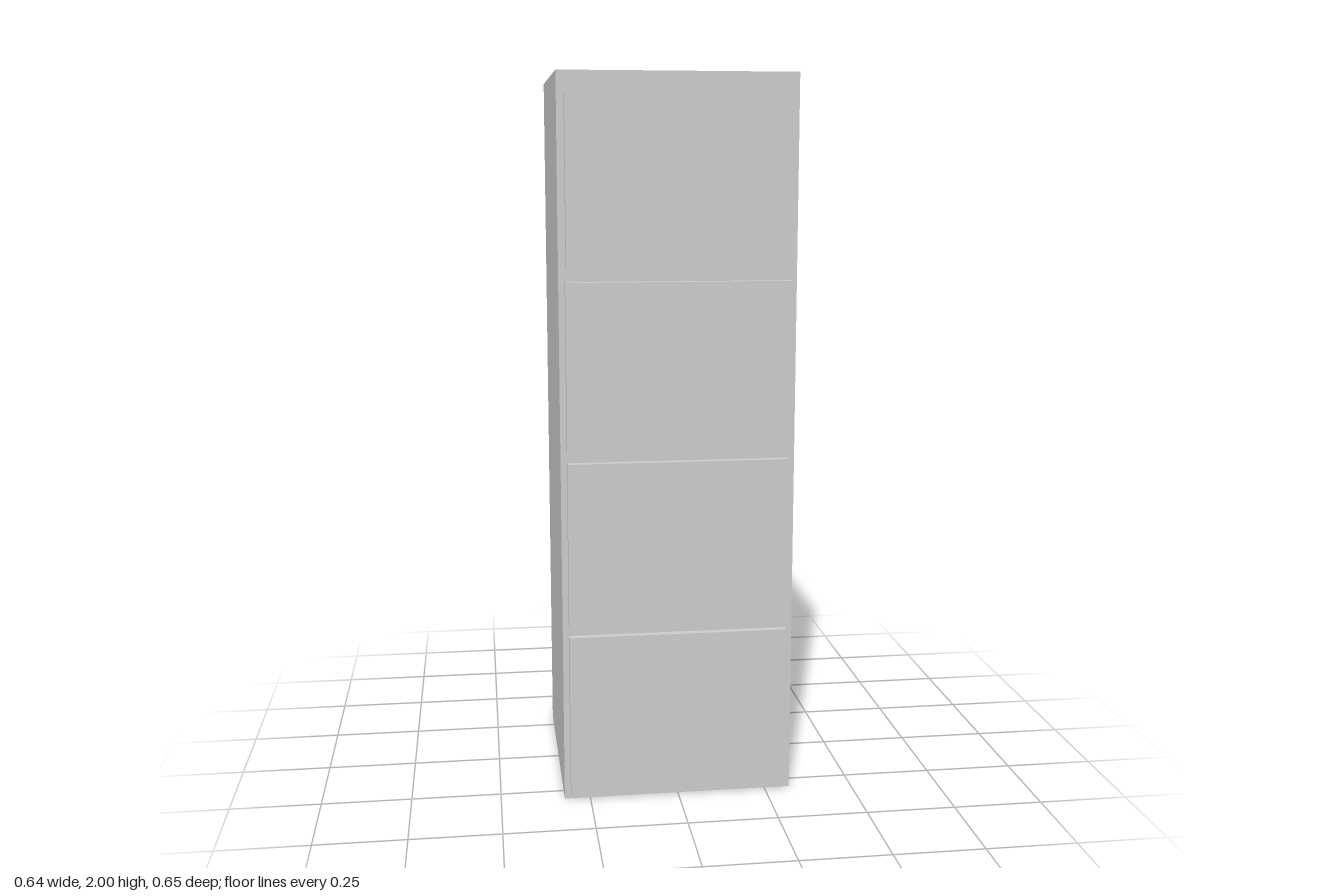
import * as THREE from 'three';

export function createModel() {
  const group = new THREE.Group();
  const material = new THREE.MeshStandardMaterial({ color: 0xcccccc, flatShading: true });

  // Adds a box given by its lower and upper limits on each axis
  function addBox(name, [x0, x1], [y0, y1], [z0, z1]) {
    const mesh = new THREE.Mesh(new THREE.BoxGeometry(x1 - x0, y1 - y0, z1 - z0), material);
    mesh.position.set((x0 + x1) / 2, (y0 + y1) / 2, (z0 + z1) / 2);
    mesh.name = name;
    group.add(mesh);
  }

  // Cabinet body
  const front = 0.303;
  addBox('cabinetBody', [-0.322, 0.322], [0, 2], [-0.325, front]);

  // Four drawer fronts, bottom to top; the top one is slightly narrower
  const drawers = [
    { y: [0.022, 0.478], x: [-0.305, 0.304] },
    { y: [0.512, 0.965], x: [-0.305, 0.304] },
    { y: [1.0, 1.453], x: [-0.305, 0.304] },
    { y: [1.492, 1.94], x: [-0.302, 0.3] },
  ];
  drawers.forEach(({ x, y }, i) => addBox(`drawerFront${i + 1}`, x, y, [front, 0.325]));

  return group;
}
